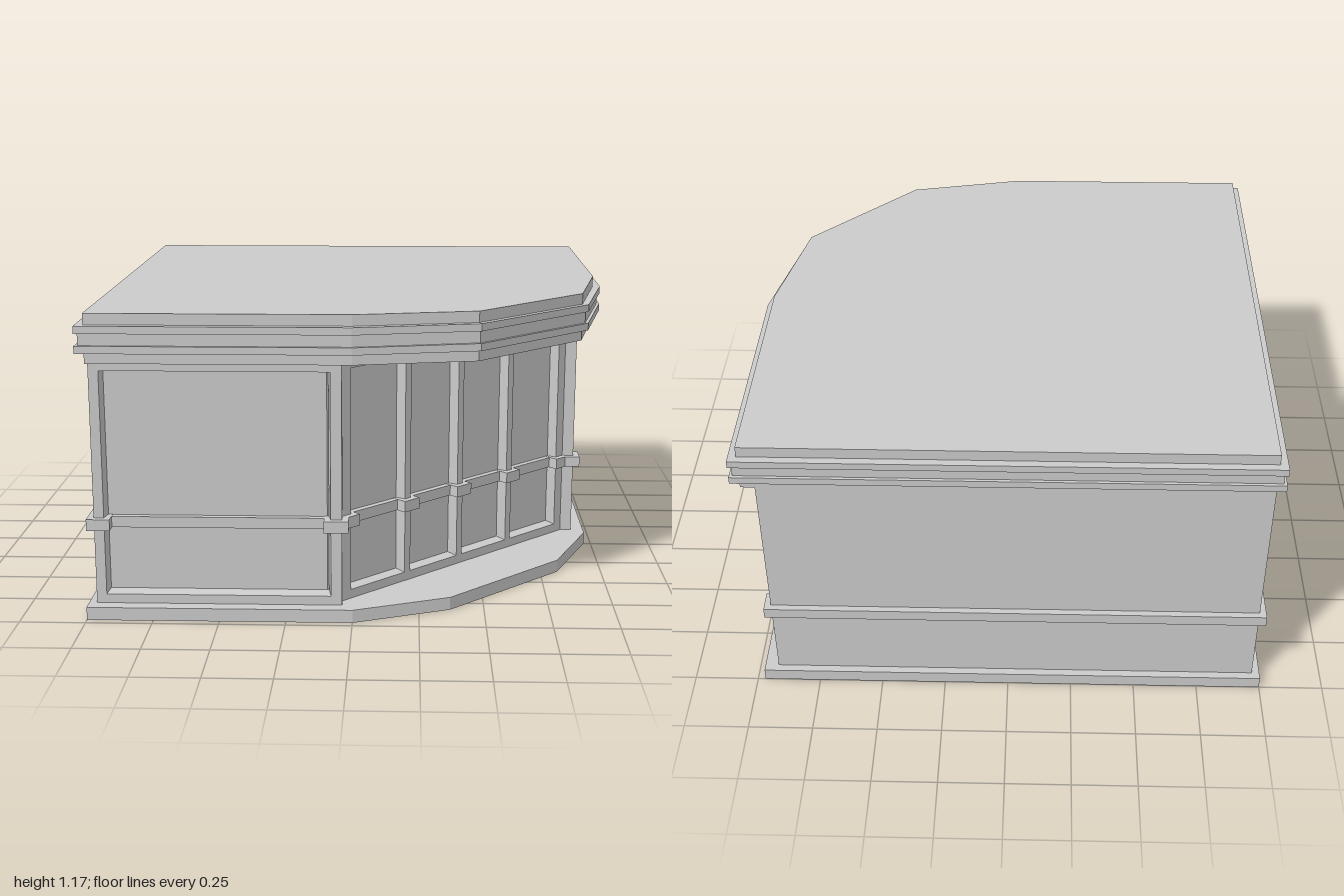
import * as THREE from 'three';

const material = new THREE.MeshStandardMaterial({ color: 0xcccccc, flatShading: true });
const WALL_BOTTOM = 0.05, WALL_TOP = 0.985;
const RAIL_BOTTOM = 0.342, RAIL_TOP = 0.386, RAIL_OUT = 0.025;

function addMesh(parent, name, geometry) {
  const mesh = new THREE.Mesh(geometry, material);
  mesh.name = name;
  parent.add(mesh);
  return mesh;
}

// Horizontal slab from a plan outline of [x, z] points
function slab(parent, name, plan, y0, y1) {
  const shape = new THREE.Shape(plan.map(([x, z]) => new THREE.Vector2(x, -z)));
  const geometry = new THREE.ExtrudeGeometry(shape, { depth: y1 - y0, bevelEnabled: false });
  geometry.rotateX(-Math.PI / 2).translate(0, y0, 0);
  return addMesh(parent, name, geometry);
}

// Square plan with a faceted front corner, mirrored about the x = z diagonal
function cutCornerPlan(back, front, bendX, bendZ) {
  return [[-back, -back], [front, -back], [front, 0], [bendZ, bendX],
    [bendX, bendZ], [0, front], [-back, front]];
}

function box(parent, name, x0, x1, y0, y1, z0, z1) {
  const geometry = new THREE.BoxGeometry(x1 - x0, y1 - y0, z1 - z0);
  geometry.translate((x0 + x1) / 2, (y0 + y1) / 2, (z0 + z1) / 2);
  return addMesh(parent, name, geometry);
}

// Frame with openings [u0, u1]; the reveals splay slightly towards the panels
function frameGeometry(width, openings, y0, y1, depth) {
  const rect = (path, a, b, c, d) =>
    path.moveTo(a, c).lineTo(b, c).lineTo(b, d).lineTo(a, d).closePath();
  const shape = rect(new THREE.Shape(), -width / 2, width / 2, WALL_BOTTOM, WALL_TOP);
  openings.forEach(([a, b]) => shape.holes.push(rect(new THREE.Path(), a, b, y0, y1)));
  const geometry = new THREE.ExtrudeGeometry(shape, { depth, bevelEnabled: false });
  const p = geometry.attributes.position, splay = 0.009, eps = 1e-4;
  for (let i = 0; i < p.count; i++) {
    const x = p.getX(i), y = p.getY(i);
    if (p.getZ(i) > eps || y < y0 - eps || y > y1 + eps) continue;
    for (const [a, b] of openings) {
      if (Math.abs(x - a) > eps && Math.abs(x - b) > eps) continue;
      p.setX(i, x + (Math.abs(x - a) < eps ? splay : -splay));
      p.setY(i, y + (y < (y0 + y1) / 2 ? splay : -splay));
      break;
    }
  }
  geometry.computeVertexNormals();
  return geometry;
}

// Window wall: frame, rail blocks around its posts and rail strips on its panels
function facade(parent, name, width, openings, depth) {
  const group = new THREE.Group();
  group.name = name;
  parent.add(group);
  addMesh(group, 'windowFrame', frameGeometry(width, openings, 0.085, 0.948, depth));
  const edges = [-width / 2, ...openings.flat(), width / 2];
  for (let i = 0; i < edges.length; i += 2) {
    box(group, 'postRailBlock', edges[i] - RAIL_OUT, edges[i + 1] + RAIL_OUT,
      RAIL_BOTTOM, RAIL_TOP, 0, depth + RAIL_OUT);
  }
  openings.forEach(([a, b]) =>
    box(group, 'panelRail', a, b, RAIL_BOTTOM + 0.001, RAIL_TOP - 0.001, -0.01, RAIL_OUT));
  return group;
}

export function createModel() {
  const model = new THREE.Group();
  model.name = 'cornerShop';

  // Base and solid body with the window panels as its front faces
  slab(model, 'baseSlab', cutCornerPlan(1, 0.97, 0.37, 0.82), 0, WALL_BOTTOM);
  const cut = -0.097;
  slab(model, 'wallsAndPanels', [[-0.97, -0.97], [0.87, -0.97], [0.87, cut],
    [cut, 0.87], [-0.97, 0.87]], WALL_BOTTOM, WALL_TOP);

  // Two street fronts with one large window each
  const large = [[-0.427, 0.423]];
  const front = facade(model, 'frontWindowWall', 0.93, large, 0.047);
  front.position.set(-0.505, 0, 0.87);
  const side = facade(model, 'sideWindowWall', 0.93, [[-0.423, 0.427]], 0.047);
  side.rotation.y = Math.PI / 2;
  side.position.set(0.87, 0, -0.505);

  // Diagonal entrance with four narrow bays
  const r = Math.SQRT2;
  const bays = [[-0.425, -0.221], [-0.199, -0.011], [0.011, 0.199], [0.221, 0.425]]
    .map(([a, b]) => [a * r, b * r]);
  const entrance = facade(model, 'entranceWall', 0.91 * r, bays, 0.04);
  entrance.rotation.y = Math.PI / 4;
  entrance.position.set(0.3867, 0, 0.3867);

  // Rails along the two blank rear walls
  box(model, 'backRail', -0.995, 0.935, RAIL_BOTTOM, RAIL_TOP, -0.995, -0.95);
  box(model, 'sideRail', -0.995, -0.95, RAIL_BOTTOM, RAIL_TOP, -0.96, 0.94);

  // Stepped cornice and flat roof
  const inner = cutCornerPlan(0.97, 0.97, 0.46, 0.878);
  const middle = cutCornerPlan(0.988, 0.988, 0.464, 0.89);
  const outer = cutCornerPlan(1, 1, 0.468, 0.902);
  slab(model, 'corniceBase', inner, WALL_TOP, 1.027);
  slab(model, 'lowerCorniceLedge', outer, 1.027, 1.055);
  slab(model, 'corniceBand', middle, 1.055, 1.1);
  slab(model, 'upperCorniceLedge', outer, 1.1, 1.128);
  slab(model, 'roof', inner, 1.128, 1.17);

  return model;
}
